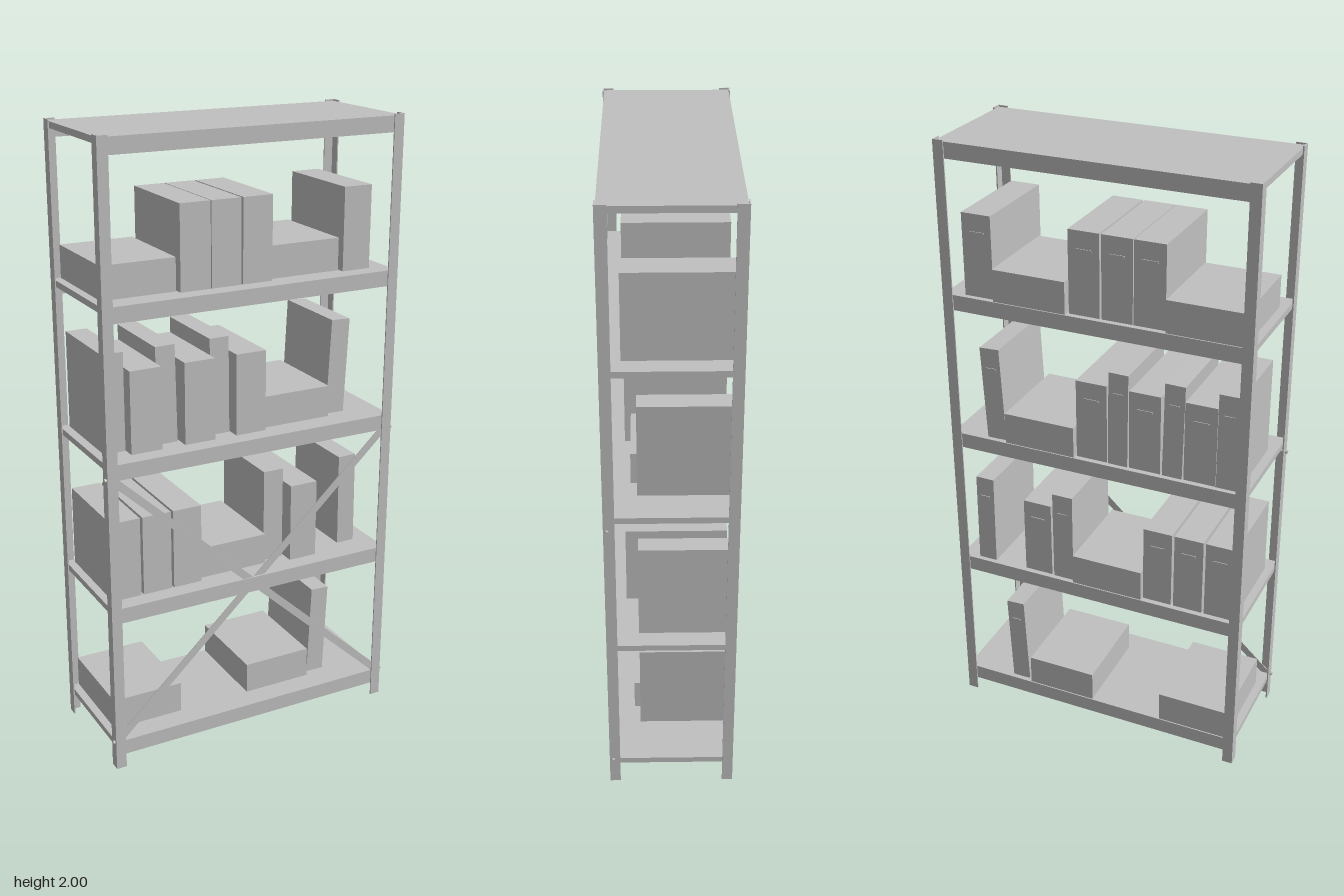
import * as THREE from 'three';

export function createModel() {
  const model = new THREE.Group();
  model.name = 'storageRack';
  const grey = new THREE.MeshStandardMaterial({ name: 'lightGrey', color: 0xc0c0c0 });

  function box(name, w, h, d, x, y, z, parent = model) {
    const mesh = new THREE.Mesh(new THREE.BoxGeometry(w, h, d), grey);
    mesh.name = name;
    mesh.position.set(x, y, z);
    parent.add(mesh);
    return mesh;
  }

  // Corner posts: angle profiles made of two thin flanges
  for (const sx of [-1, 1]) for (const sz of [-1, 1]) {
    const post = new THREE.Group();
    post.name = 'cornerPost';
    box('postFaceFlange', 0.034, 2, 0.004, sx * 0.483, 1, sz * 0.198, post);
    box('postSideFlange', 0.004, 2, 0.03, sx * 0.498, 1, sz * 0.181, post);
    model.add(post);
  }

  // Shelves: deck with a turned-down lip along the front and back
  const tops = [0.095, 0.565, 1.04, 1.52, 1.995];
  for (const top of tops) {
    const shelf = new THREE.Group();
    shelf.name = 'shelf';
    box('shelfDeck', 0.992, 0.02, 0.392, 0, top - 0.01, 0, shelf);
    for (const s of [-1, 1])
      box('shelfLip', 0.992, 0.05, 0.004, 0, top - 0.025, s * 0.194, shelf);
    model.add(shelf);
  }

  // Crossed braces behind the front lips, bolted to the posts
  for (const s of [-1, 1]) {
    const brace = box('crossBrace', Math.hypot(0.97, 0.9), 0.025, 0.003, 0, 0.545, 0.189 - s * 0.002);
    brace.rotation.z = s * Math.atan2(0.9, 0.97);
    for (const y of [0.095, 0.995]) {
      const bolt = new THREE.Mesh(new THREE.CylinderGeometry(0.006, 0.006, 0.02, 10), grey);
      bolt.name = 'braceBolt';
      bolt.rotation.z = Math.PI / 2;
      bolt.position.set(s * 0.497, y, 0.19);
      model.add(bolt);
    }
  }

  // Stored items; kinds give height and front/back depth limits
  const kinds = {
    tall: { name: 'uprightBinder', h: 0.313, front: 0.1, back: -0.18 },
    side: { name: 'sidewaysBinder', h: 0.263, front: 0.14, back: -0.178 },
    low: { name: 'flatBox', h: 0.103, front: 0.12, back: -0.192 },
  };
  function item(shelfIndex, kind, x0, x1, lean = 0) {
    const k = kinds[kind], w = x1 - x0, d = k.front - k.back;
    const group = new THREE.Group();
    group.name = k.name;
    group.position.set((x0 + x1) / 2, tops[shelfIndex], (k.front + k.back) / 2);
    group.rotation.z = -Math.atan2(lean, k.h);
    box(k.name + 'Body', w, k.h, d, 0, k.h / 2, 0, group);
    // Small slot plate on the rear spine
    if (kind !== 'low')
      box('spineSlot', w * 0.5, 0.006, 0.003, 0, k.h * 0.78, -d / 2 - 0.001, group);
    model.add(group);
  }
  const contents = [
    [['low', -0.47, -0.232], ['low', 0.015, 0.25], ['tall', 0.262, 0.325, 0.014]],
    [['side', -0.47, -0.373], ['side', -0.365, -0.268], ['side', -0.26, -0.163],
      ['low', -0.16, 0.08], ['tall', 0.085, 0.155], ['side', 0.163, 0.26],
      ['tall', 0.372, 0.435, -0.003]],
    [['tall', -0.467, -0.397], ['side', -0.395, -0.292], ['tall', -0.287, -0.222, -0.006],
      ['side', -0.215, -0.112], ['tall', -0.107, -0.042, -0.003], ['side', -0.038, 0.065],
      ['low', 0.07, 0.308], ['tall', 0.312, 0.378, 0.015]],
    [['low', -0.47, -0.23], ['side', -0.225, -0.125], ['side', -0.122, -0.023],
      ['side', -0.017, 0.083], ['low', 0.09, 0.33], ['side', 0.335, 0.432]],
  ];
  contents.forEach((row, i) => row.forEach((entry) => item(i, ...entry)));

  return model;
}
